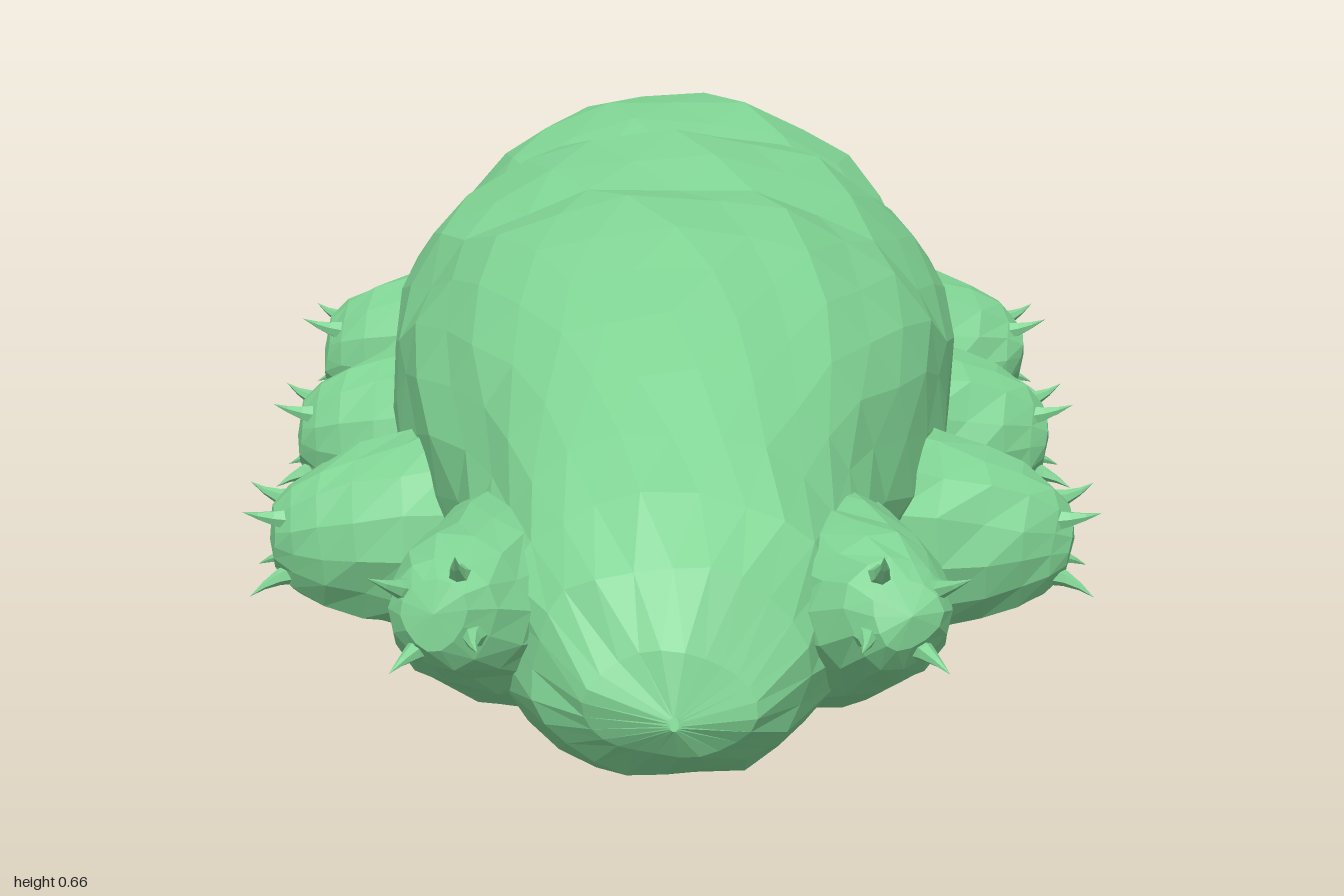
import * as THREE from 'three';

const skin = new THREE.MeshStandardMaterial({ color: 0x80d494, flatShading: true, side: THREE.DoubleSide });

// Small position-based wobble so the facets look hand-shaped
function roughen(geo, amount) {
  const p = geo.attributes.position;
  for (let i = 0; i < p.count; i++) {
    const x = p.getX(i), y = p.getY(i), z = p.getZ(i);
    p.setXYZ(i,
      x + amount * Math.sin(41 * y + 67 * z + 23 * x),
      y + amount * Math.sin(53 * z + 37 * x + 1),
      z + amount * Math.sin(47 * x + 59 * y + 2));
  }
  geo.computeVertexNormals();
  return geo;
}

function add(parent, name, geo) {
  const mesh = new THREE.Mesh(geo, skin);
  mesh.name = name;
  parent.add(mesh);
  return mesh;
}

// Body cross-sections: z, half width, bottom, top; the last ones fold into the rear socket
const sections = [
  [1.0, 0.005, 0.235, 0.25], [0.97, 0.09, 0.19, 0.31], [0.92, 0.15, 0.15, 0.39],
  [0.85, 0.19, 0.12, 0.45], [0.77, 0.21, 0.11, 0.495], [0.68, 0.225, 0.12, 0.54],
  [0.58, 0.25, 0.125, 0.58], [0.48, 0.29, 0.12, 0.61], [0.38, 0.32, 0.11, 0.635],
  [0.27, 0.345, 0.095, 0.65], [0.19, 0.36, 0.085, 0.645], [0.1, 0.37, 0.08, 0.665],
  [0.0, 0.372, 0.07, 0.675], [-0.1, 0.372, 0.05, 0.655], [-0.21, 0.37, 0.03, 0.605],
  [-0.31, 0.36, 0.012, 0.63], [-0.41, 0.345, 0.004, 0.642], [-0.51, 0.315, 0.018, 0.63],
  [-0.61, 0.275, 0.038, 0.6], [-0.7, 0.245, 0.05, 0.56], [-0.77, 0.21, 0.07, 0.52],
  [-0.82, 0.17, 0.11, 0.47], [-0.845, 0.125, 0.165, 0.41], [-0.83, 0.105, 0.185, 0.39],
  [-0.76, 0.085, 0.2, 0.37], [-0.74, 0.005, 0.28, 0.29],
];

function bodyGeometry() {
  const n = 24, pos = [], index = [];
  const bulge = v => Math.sign(v) * Math.abs(v) ** 0.92;
  sections.forEach(([z, w, bottom, top], i) => {
    for (let j = 0; j < n; j++) {
      const a = (j + (i % 2) / 2) / n * Math.PI * 2;
      const x = w * bulge(Math.cos(a));
      let y = (top + bottom) / 2 + (top - bottom) / 2 * bulge(Math.sin(a));
      // shallow groove along the belly
      if (Math.sin(a) < 0 && w > 0.2) y += 0.02 * Math.exp(-((x / 0.07) ** 2));
      pos.push(x, y, z);
    }
  });
  for (let i = 0; i < sections.length - 1; i++) {
    for (let j = 0; j < n; j++) {
      const k = (j + 1) % n;
      const a = i * n + j, b = i * n + k, c = a + n, d = b + n;
      if (i % 2) index.push(a, c, d, a, d, b);
      else index.push(a, c, b, b, c, d);
    }
  }
  const geo = new THREE.BufferGeometry();
  geo.setAttribute('position', new THREE.Float32BufferAttribute(pos, 3));
  geo.setIndex(index);
  return roughen(geo, 0.005);
}

// Hooked claw: a cone whose tip bends along +x
function clawGeometry() {
  const geo = new THREE.ConeGeometry(0.015, 0.06, 6, 3).translate(0, 0.03, 0);
  const p = geo.attributes.position;
  for (let i = 0; i < p.count; i++) p.setX(i, p.getX(i) + 5 * p.getY(i) ** 2);
  geo.computeVertexNormals();
  return geo;
}

// Stubby leg running from root to tip with four claws around the foot
const legProfile = [
  [0.165, 0], [0.152, 0.22], [0.133, 0.42], [0.115, 0.62],
  [0.096, 0.78], [0.072, 0.91], [0.045, 0.98], [0, 1],
];
function addLeg(parent, name, root, tip, girth) {
  const from = new THREE.Vector3(...root), dir = new THREE.Vector3(...tip).sub(from);
  const length = dir.length();
  const leg = new THREE.Group();
  leg.name = name;
  leg.position.copy(from);
  leg.quaternion.setFromUnitVectors(new THREE.Vector3(0, 1, 0), dir.normalize());
  parent.add(leg);
  const pts = legProfile.map(([r, t]) => new THREE.Vector2(r * girth, t * length));
  add(leg, name + 'Limb', roughen(new THREE.LatheGeometry(pts, 14), 0.004));
  for (let i = 0; i < 4; i++) {
    const spoke = new THREE.Group();
    spoke.rotation.y = Math.PI / 4 + i * Math.PI / 2;
    const claw = add(spoke, name + 'Claw', clawGeometry());
    claw.position.set(0.052 * girth, length * 0.91, 0);
    claw.rotation.z = -0.2;
    leg.add(spoke);
  }
}

export function createModel() {
  const model = new THREE.Group();
  model.name = 'waterBear';

  add(model, 'body', bodyGeometry());

  // Hollow snout seated in the rear socket
  const snout = [[0.066, 0], [0.073, 0.1], [0.07, 0.18], [0.062, 0.24], [0.05, 0.26], [0.034, 0.255], [0.028, 0.2], [0, 0.19]];
  const tube = add(model, 'snout', new THREE.LatheGeometry(snout.map(([r, y]) => new THREE.Vector2(r, y)), 14));
  tube.position.set(0, 0.285, -0.74);
  tube.rotation.x = -Math.PI / 2;

  // Three pairs of side legs and one pair beside the tapered end
  for (const [side, s] of [['left', 1], ['right', -1]]) {
    addLeg(model, side + 'LegA', [s * 0.2, 0.25, 0.36], [s * 0.5, 0.235, 0.37], 0.95);
    addLeg(model, side + 'LegB', [s * 0.2, 0.25, -0.01], [s * 0.51, 0.25, -0.02], 1.02);
    addLeg(model, side + 'LegC', [s * 0.18, 0.27, -0.34], [s * 0.51, 0.275, -0.36], 1.05);
    addLeg(model, side + 'EndLeg', [s * 0.15, 0.26, 0.64], [s * 0.255, 0.345, 0.945], 0.85);
  }
  return model;
}
